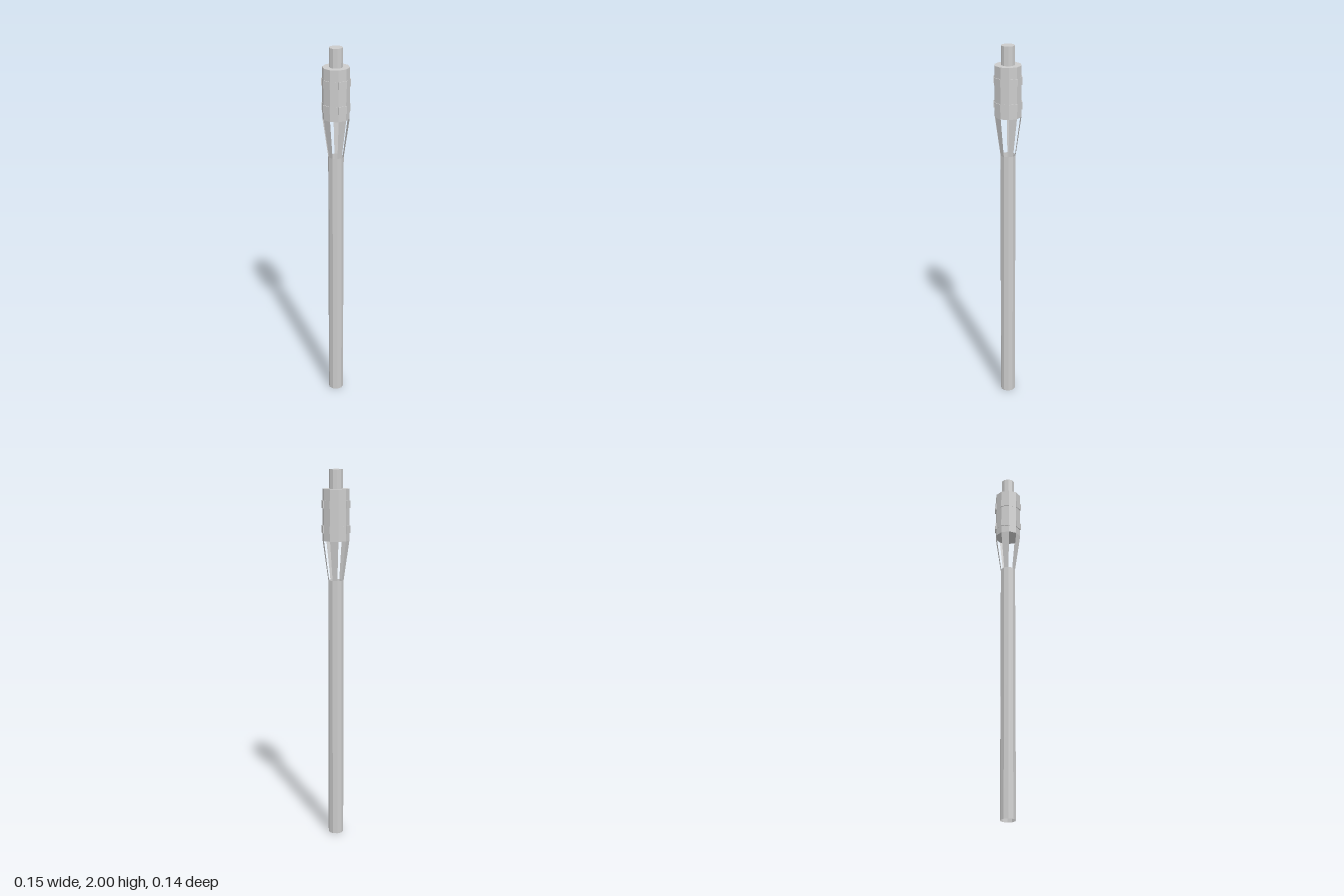
import * as THREE from 'three';

const SIDES = 10;
const STEP = (Math.PI * 2) / SIDES;
const HEAD_R = 0.071, SHAFT_R = 0.041, PIN_R = 0.036;
const SHAFT_TOP = 1.42, HEAD_BOTTOM = 1.63, HEAD_TOP = 1.9;

export function createModel() {
  const group = new THREE.Group();
  const material = new THREE.MeshStandardMaterial({
    color: 0xcccccc, flatShading: true, side: THREE.DoubleSide,
  });

  function add(name, geometry, y = 0) {
    const mesh = new THREE.Mesh(geometry, material);
    mesh.name = name;
    mesh.position.y = y;
    group.add(mesh);
  }

  // Ten-sided tube or prism with a flat facing the front
  function prism(name, rTop, rBottom, y0, y1, open, sides = SIDES, start = -STEP / 2) {
    add(name, new THREE.CylinderGeometry(rTop, rBottom, y1 - y0, sides, 1, open, start, sides * STEP), (y0 + y1) / 2);
  }

  prism('shaft', SHAFT_R, SHAFT_R, 0, SHAFT_TOP, true);
  prism('head', HEAD_R, HEAD_R, HEAD_BOTTOM, HEAD_TOP, false);
  prism('topPin', PIN_R, PIN_R, HEAD_TOP, 2, false);

  // Split strips flaring from every second shaft side to the head
  for (let i = 0; i < SIDES; i += 2) {
    prism('splitStrip', HEAD_R, SHAFT_R, SHAFT_TOP, HEAD_BOTTOM, true, 1, (i - 0.5) * STEP);
  }

  // Woven bands: raised over the strips, nearly flush between them
  const outline = [];
  for (let i = 0; i < SIDES; i++) {
    const r = i % 2 === 0 ? 0.0757 : HEAD_R + 0.0005;
    for (const end of [-0.5, 0.5]) {
      const a = (i + end) * STEP;
      outline.push(new THREE.Vector2(r * Math.sin(a), -r * Math.cos(a)));
    }
  }
  for (const y of [1.67, 1.8]) {
    const band = new THREE.ExtrudeGeometry(new THREE.Shape(outline), { depth: 0.04, bevelEnabled: false });
    band.rotateX(-Math.PI / 2);
    add('wovenBand', band, y);
  }

  return group;
}
